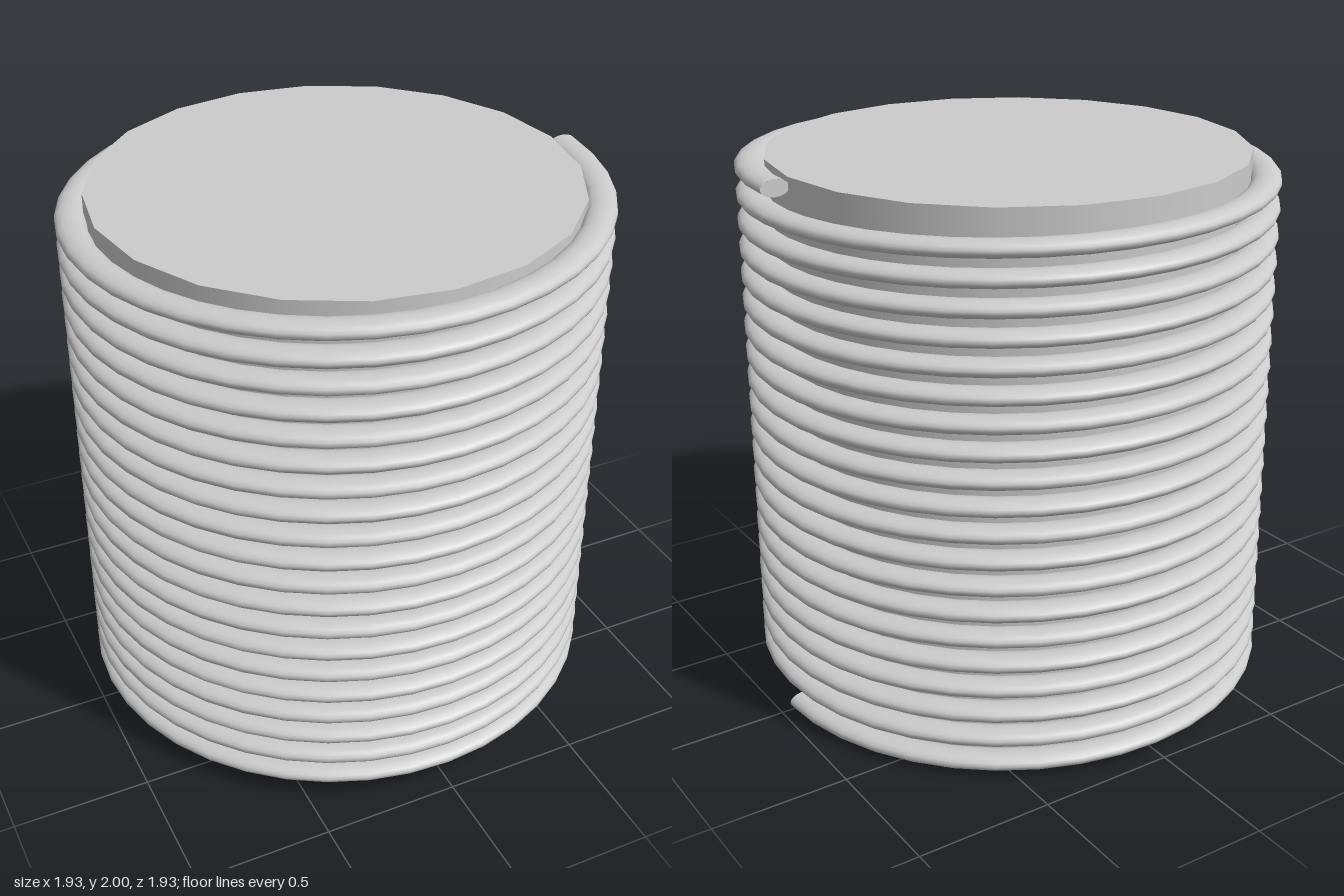
import * as THREE from 'three';

const TURNS = 20, COIL_RADIUS = 0.912, WIRE = 0.054, SQUASH = 0.55;
const Y_START = 0.03, Y_END = 1.968;

// Helix that starts at +x and climbs round the back first
class Helix extends THREE.Curve {
  getPoint(t, target = new THREE.Vector3()) {
    const a = t * TURNS * Math.PI * 2;
    const y = THREE.MathUtils.lerp(Y_START, Y_END, t) / SQUASH;
    return target.set(COIL_RADIUS * Math.cos(a), y, -COIL_RADIUS * Math.sin(a));
  }
}

export function createModel() {
  const group = new THREE.Group();
  const material = new THREE.MeshStandardMaterial({ color: 0xcccccc });
  const add = (name, geometry) => {
    const mesh = new THREE.Mesh(geometry, material);
    mesh.name = name;
    group.add(mesh);
    return mesh;
  };

  // Solid core
  add('core', new THREE.CylinderGeometry(0.865, 0.865, 1.985, 20).translate(0, 1.0075, 0));

  // Wire wound round the core, flattened to an oval section
  const coil = new THREE.TubeGeometry(new Helix(), TURNS * 40, WIRE, 16, false);
  add('coil', coil.scale(1, SQUASH, 1));

  // Flat ends of the wire
  for (const [name, y, turn] of [['coilStartCap', Y_START, 0], ['coilEndCap', Y_END, Math.PI]]) {
    const cap = add(name, new THREE.CircleGeometry(WIRE, 16).scale(1, SQUASH, 1));
    cap.position.set(COIL_RADIUS, y, 0);
    cap.rotation.y = turn;
  }

  return group;
}
